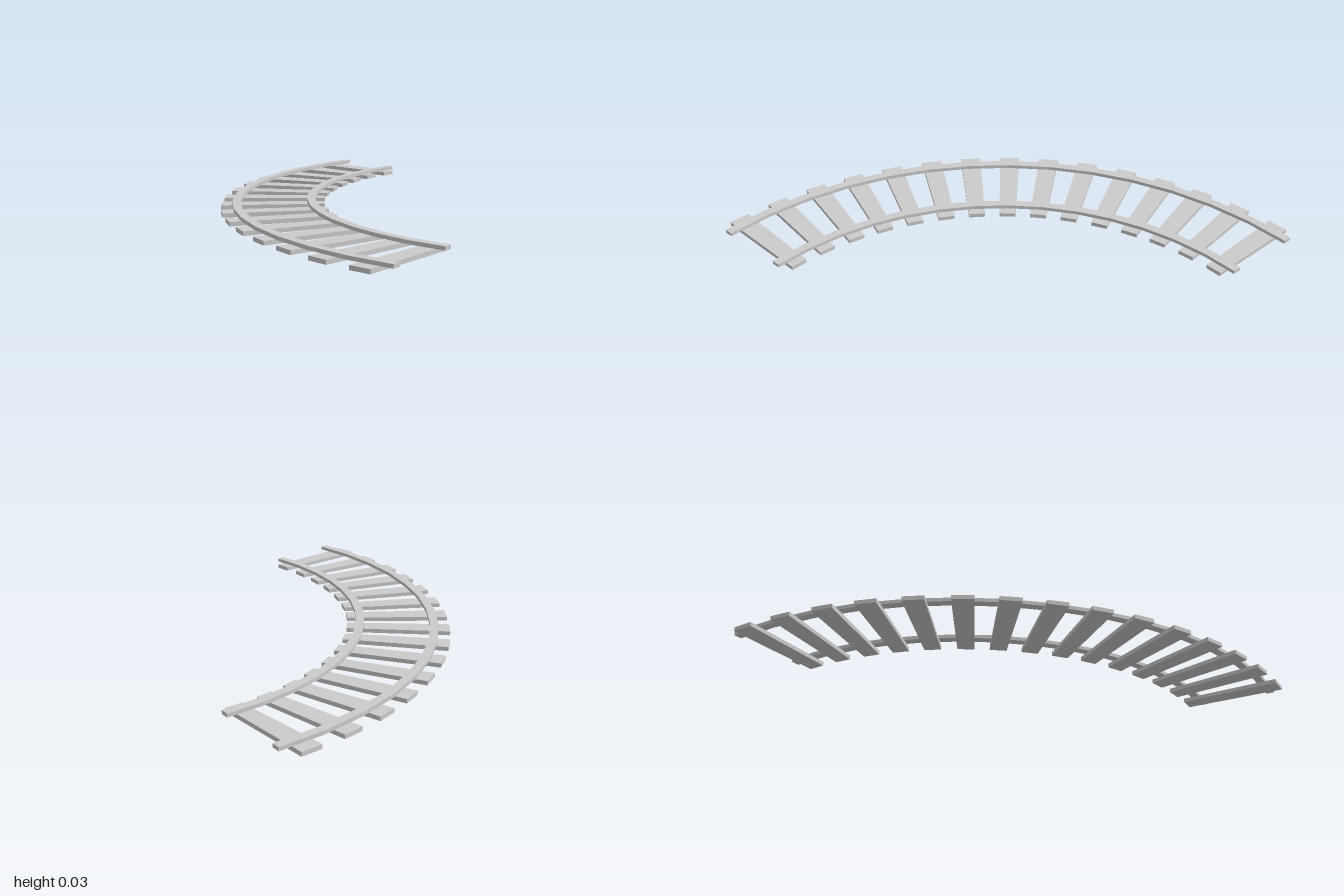
import * as THREE from 'three';

const CENTRE = { x: 0.703, z: 0.85 }; // centre of the curve
const MID = 39.3;                     // mid angle of the curve, from -z towards -x
const HALF = 49.8;                    // half the angle the rails sweep
const SEGMENTS = 14;
const rad = THREE.MathUtils.degToRad;

const material = new THREE.MeshStandardMaterial({ color: 0xcccccc, flatShading: true });

// Extrude a plan outline upwards (outline y becomes -z)
function slab(name, points, height, y) {
  const shape = new THREE.Shape(points);
  const geometry = new THREE.ExtrudeGeometry(shape, { depth: height, bevelEnabled: false });
  geometry.rotateX(-Math.PI / 2);
  const mesh = new THREE.Mesh(geometry, material);
  mesh.name = name;
  mesh.position.y = y;
  return mesh;
}

// Faceted curved rail, a flat bar of rectangular section
function rail(name, radius, width) {
  const arc = (r) => Array.from({ length: SEGMENTS + 1 }, (_, i) => {
    const a = rad(MID - HALF + (2 * HALF * i) / SEGMENTS);
    return new THREE.Vector2(-r * Math.sin(a), r * Math.cos(a));
  });
  const outline = [...arc(radius + width / 2), ...arc(radius - width / 2).reverse()];
  return slab(name, outline, 0.016, 0.018);
}

// Sleeper that narrows towards the inside of the curve
function sleeper(angle) {
  const [inner, outer, wi, wo] = [1.244, 1.706, 0.037, 0.047];
  const mesh = slab('sleeper', [
    new THREE.Vector2(-wi, inner), new THREE.Vector2(wi, inner),
    new THREE.Vector2(wo, outer), new THREE.Vector2(-wo, outer),
  ], 0.018, 0);
  mesh.rotation.y = rad(angle);
  return mesh;
}

export function createModel() {
  const track = new THREE.Group();
  track.name = 'curvedTrack';

  // Two concentric rails
  track.add(rail('outerRail', 1.637, 0.038), rail('innerRail', 1.303, 0.038));

  // Sleepers, mirrored about the middle one
  const sleepers = new THREE.Group();
  sleepers.name = 'sleepers';
  sleepers.add(sleeper(MID));
  for (const offset of [6.5, 13, 19.7, 26.3, 32.7, 39.4, 46.2]) {
    sleepers.add(sleeper(MID - offset), sleeper(MID + offset));
  }
  track.add(sleepers);

  track.position.set(CENTRE.x, 0, CENTRE.z);
  const model = new THREE.Group();
  model.name = 'railTrack';
  model.add(track);
  return model;
}
